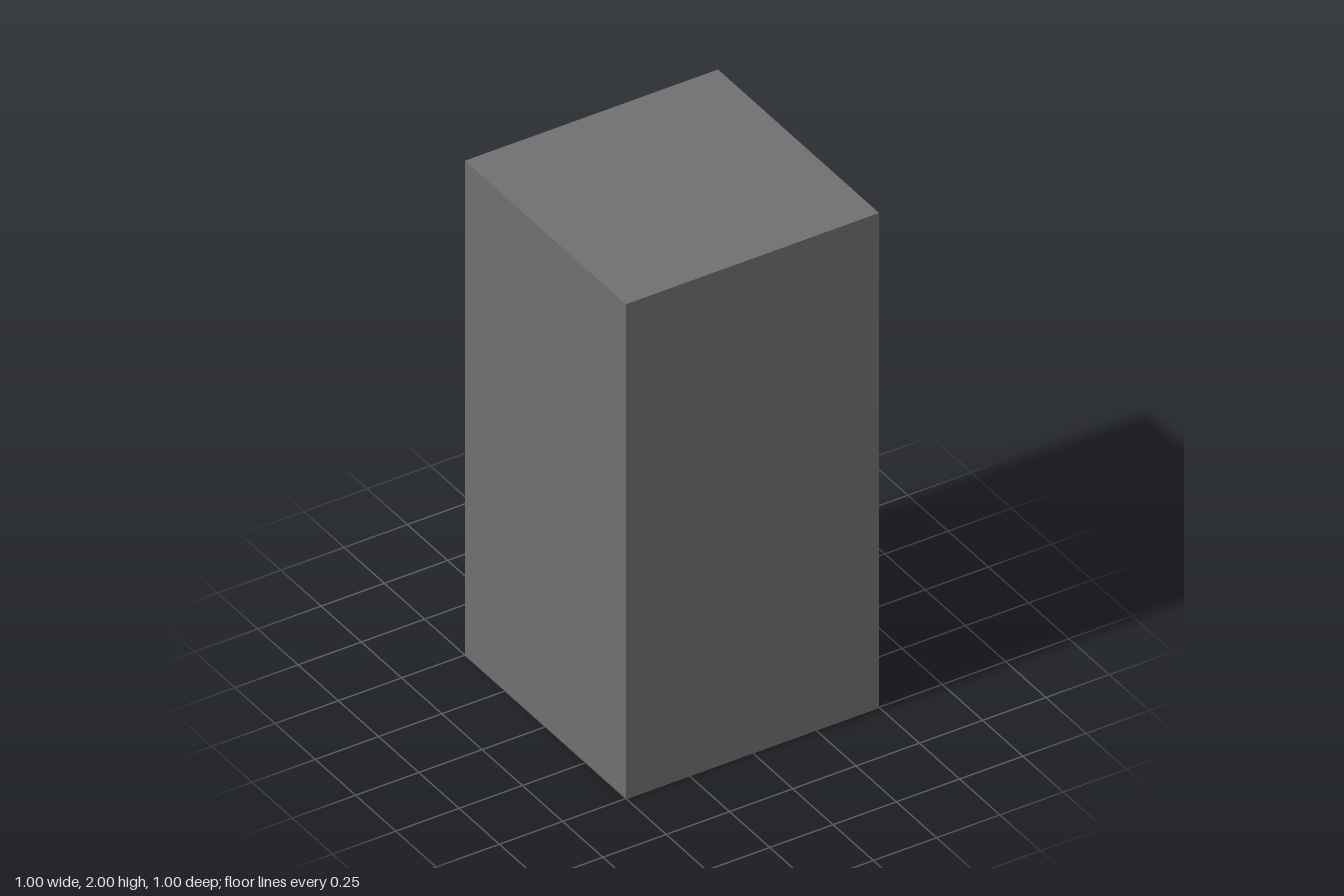
import * as THREE from 'three';

const U = 1 / 32; // building grid unit
const concrete = new THREE.MeshStandardMaterial({ color: 0x707070 });
concrete.name = 'grey concrete';
const darkGlass = new THREE.MeshStandardMaterial({ color: 0x232342 });
darkGlass.name = 'dark navy glass';
const blueGlass = new THREE.MeshStandardMaterial({ color: 0x47a5cd });
blueGlass.name = 'light blue glass';

// Openings as [start, end, glass], in grid units along the wall
const floors = [[0, 16], [20, 36], [40, 56]];
const rightOpenings = [
  [[-14, -9, darkGlass], [-6, 13, blueGlass]],
  [[-15, -4, blueGlass], [-2, 12, blueGlass]],
  [[-13, 3, darkGlass], [6, 13, darkGlass]],
];
const backOpenings = [
  [[-13, -4, blueGlass], [0, 7, darkGlass], [10, 15, darkGlass]],
  [[-14, 1, darkGlass], [4, 14, blueGlass]],
  [[-11, 13, darkGlass]],
];

// Wall two units thick with cut openings and panes recessed by one unit
function makeWall(name, start, end, openings) {
  const wall = new THREE.Group();
  wall.name = name;
  const shape = new THREE.Shape();
  shape.moveTo(start * U, 0);
  // Ground floor openings are notches in the outline
  for (const [a, b] of openings[0]) {
    for (const [u, y] of [[a, 0], [a, 16], [b, 16], [b, 0]]) shape.lineTo(u * U, y * U);
  }
  for (const [u, y] of [[end, 0], [end, 64], [start, 64]]) shape.lineTo(u * U, y * U);
  shape.closePath();

  openings.forEach((row, i) => {
    const [y0, y1] = floors[i];
    for (const [a, b, glass] of row) {
      if (i > 0) {
        const corners = [[a, y0], [a, y1], [b, y1], [b, y0]];
        shape.holes.push(new THREE.Path(corners.map(([u, y]) => new THREE.Vector2(u * U, y * U))));
      }
      const pane = new THREE.Mesh(new THREE.BoxGeometry((b - a) * U, (y1 - y0) * U, U), glass);
      pane.name = i === 0 ? 'doorPane' : 'windowPane';
      pane.position.set((a + b) / 2 * U, (y0 + y1) / 2 * U, U / 2);
      wall.add(pane);
    }
  });

  const shell = new THREE.Mesh(
    new THREE.ExtrudeGeometry(shape, { depth: 2 * U, bevelEnabled: false }), concrete);
  shell.name = 'wallShell';
  wall.add(shell);
  return wall;
}

export function createModel() {
  const building = new THREE.Group();
  building.name = 'building';

  // Solid core with the plain front and left sides
  const core = new THREE.Mesh(new THREE.BoxGeometry(30 * U, 64 * U, 30 * U), concrete);
  core.name = 'core';
  core.position.set(-U, 1, U);
  building.add(core);

  const rightWall = makeWall('windowedSideWall', -16, 14, rightOpenings);
  rightWall.rotation.y = Math.PI / 2;
  rightWall.position.x = 14 * U;
  building.add(rightWall);

  const backWall = makeWall('windowedBackWall', -16, 16, backOpenings);
  backWall.rotation.y = Math.PI;
  backWall.position.z = -14 * U;
  building.add(backWall);

  return building;
}
